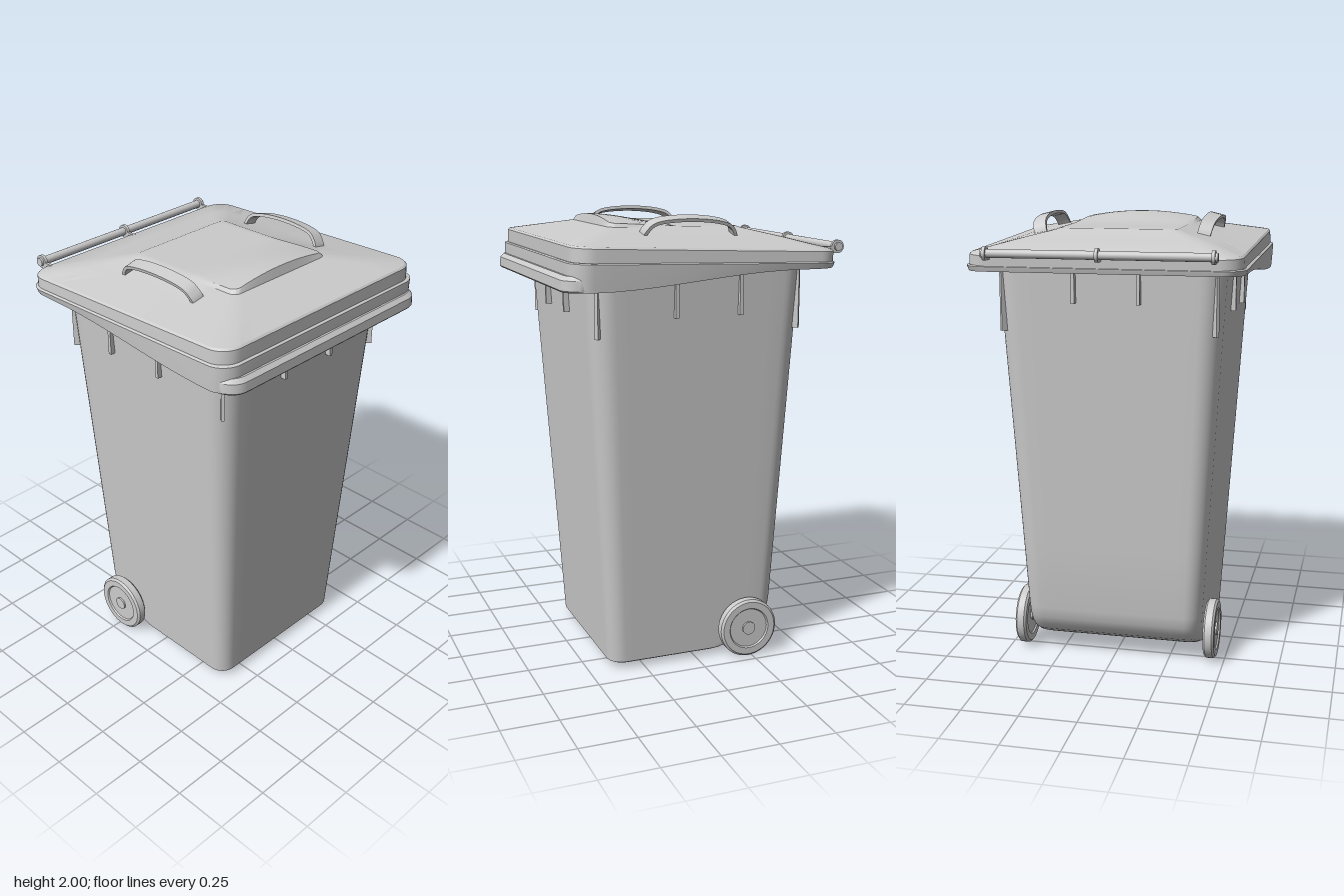
import * as THREE from 'three';
import { toCreasedNormals } from 'three/addons/utils/BufferGeometryUtils.js';

const grey = new THREE.MeshStandardMaterial({ color: 0xcccccc, side: THREE.DoubleSide });
const { lerp, smoothstep } = THREE.MathUtils;

function add(parent, name, geometry, x = 0, y = 0, z = 0) {
  const mesh = new THREE.Mesh(geometry, grey);
  mesh.name = name;
  mesh.position.set(x, y, z);
  parent.add(mesh);
  return mesh;
}

// Outline of a rounded rectangle in the xz plane, with subdivided edges
function outline(hx, z0, z1, r, arc = 8, edge = 12) {
  const signs = [[1, 1], [-1, 1], [-1, -1], [1, -1]];
  const cz = (z0 + z1) / 2, hz = (z1 - z0) / 2, pts = [];
  const corner = (k, a) => [
    signs[k % 4][0] * (hx - r) + Math.cos(a) * r,
    cz + signs[k % 4][1] * (hz - r) + Math.sin(a) * r];
  for (let k = 0; k < 4; k++) {
    for (let i = 0; i <= arc; i++) pts.push(corner(k, (k + i / arc) * Math.PI / 2));
    const a = pts[pts.length - 1], b = corner(k + 1, (k + 1) * Math.PI / 2);
    for (let i = 1; i < edge; i++) pts.push([lerp(a[0], b[0], i / edge), lerp(a[1], b[1], i / edge)]);
  }
  return pts;
}

// Skin stacked outlines [halfWidth, zBack, zFront, radius, height]; height may be a rule of x and z
function loft(rings, crease = 0.5) {
  const pos = [], index = [];
  let n = 0;
  const centres = [];
  rings.forEach(([hx, z0, z1, r, y]) => {
    const height = typeof y === 'function' ? y : () => y;
    const pts = outline(hx, z0, z1, r);
    n = pts.length;
    pts.forEach(([x, z]) => pos.push(x, height(x, z), z));
    centres.push([0, height(0, (z0 + z1) / 2), (z0 + z1) / 2]);
  });
  const last = rings.length - 1, bottom = rings.length * n;
  pos.push(...centres[0], ...centres[last]);
  for (let j = 0; j < n; j++) {
    const k = (j + 1) % n;
    for (let i = 0; i < last; i++) {
      const a = i * n + j, b = i * n + k;
      index.push(a, a + n, b, b, a + n, b + n);
    }
    index.push(bottom, j, k, bottom + 1, last * n + k, last * n + j);
  }
  const g = new THREE.BufferGeometry();
  g.setAttribute('position', new THREE.Float32BufferAttribute(pos, 3));
  g.setIndex(index);
  return toCreasedNormals(g, crease);
}

// Tapered bin with a rounded undercut at the lower back
function bodyGeometry() {
  const rings = [];
  const section = (y, back) => {
    const t = (y - 0.03) / 1.72;
    rings.push([lerp(0.39, 0.495, t), back, lerp(0.405, 0.507, t), lerp(0.07, 0.1, t), y]);
  };
  rings.push([0.38, -0.14, 0.395, 0.065, 0.028]);
  [[0.035, -0.16], [0.05, -0.215], [0.075, -0.27], [0.105, -0.32], [0.14, -0.352], [0.18, -0.372], [0.23, -0.382]]
    .forEach(([y, z]) => section(y, z));
  for (let i = 1; i <= 5; i++) section(lerp(0.23, 1.79, i / 5), lerp(-0.382, -0.46, i / 5));
  return loft(rings, 0.6);
}

// Height rules for rim and lid, sloping towards the back
const along = z => (z + 0.575) / 1.175;
const rimBottom = (x, z) => 1.717 + 0.058 * smoothstep(-z, -0.5, 0.35);
const seam = (x, z) => lerp(1.8, 1.835, along(z));
const lidEdge = (x, z) => lerp(1.85, 1.9, along(z));
const slopeTop = (x, z) => lerp(1.932, 1.948, (z + 0.25) / 0.605);
const panel = (x, z) => {
  const front = smoothstep(z, 0.0, 0.33);
  return lerp(1.938, 1.952, (z + 0.25) / 0.6) + front * 0.036 * (1 - 0.75 * (x / 0.27) ** 2);
};

function lidGeometry() {
  const rings = [
    [0.583, -0.572, 0.6, 0.09, (x, z) => seam(x, z) - 0.01],
    [0.58, -0.575, 0.6, 0.09, (x, z) => lidEdge(x, z) - 0.008],
    [0.572, -0.567, 0.592, 0.085, lidEdge],
    [0.42, -0.41, 0.475, 0.06, (x, z) => lerp(lidEdge(x, z), slopeTop(x, z), 0.52)],
    [0.275, -0.255, 0.357, 0.035, slopeTop],
    [0.262, -0.24, 0.347, 0.035, panel],
  ];
  for (let i = 1; i < 10; i++) {
    const s = 1 - i / 10;
    rings.push([0.262 * s, 0.0535 - 0.2935 * s, 0.0535 + 0.2935 * s, 0.035 * s, panel]);
  }
  return loft(rings, 0.55);
}

// Bent strap, thick in the zy plane and extruded across its width
function strapGeometry(points, thickness, width) {
  const curve = new THREE.SplineCurve(points.map(p => new THREE.Vector2(...p)));
  const outer = [], inner = [];
  for (let i = 0; i <= 28; i++) {
    const p = curve.getPoint(i / 28), t = curve.getTangent(i / 28);
    outer.push(p);
    inner.unshift(new THREE.Vector2(p.x - t.y * thickness, p.y + t.x * thickness));
  }
  const g = new THREE.ExtrudeGeometry(new THREE.Shape([...outer, ...inner]), { depth: width, bevelEnabled: false });
  g.translate(0, 0, -width / 2);
  g.rotateY(-Math.PI / 2);
  return toCreasedNormals(g, 0.6);
}

function wheelGeometry() {
  const profile = [[0, -0.026], [0.03, -0.026], [0.03, -0.018], [0.09, -0.018], [0.095, -0.025], [0.125, -0.025], [0.135, -0.016],
    [0.135, 0.016], [0.125, 0.025], [0.095, 0.025], [0.09, 0.018], [0.03, 0.018], [0.03, 0.026], [0, 0.026]];
  const g = new THREE.LatheGeometry(profile.map(p => new THREE.Vector2(...p)), 48);
  g.rotateZ(-Math.PI / 2);
  return toCreasedNormals(g, 0.5);
}

const rod = (radius, length, sides = 20) => new THREE.CylinderGeometry(radius, radius, length, sides).rotateZ(Math.PI / 2);

export function createModel() {
  const model = new THREE.Group();
  model.name = 'wheeledBin';

  add(model, 'body', bodyGeometry());

  // Rim collar and the grip ledge along its front
  add(model, 'rim', loft([
    [0.588, -0.568, 0.61, 0.09, rimBottom],
    [0.592, -0.572, 0.613, 0.09, (x, z) => lerp(rimBottom(x, z), seam(x, z), 0.5)],
    [0.595, -0.574, 0.613, 0.09, (x, z) => seam(x, z) - 0.004],
    [0.588, -0.57, 0.606, 0.088, seam],
  ]));
  add(model, 'frontLedge', loft([
    [0.575, 0.4, 0.635, 0.08, 1.717],
    [0.578, 0.4, 0.641, 0.08, 1.724],
    [0.578, 0.4, 0.639, 0.08, 1.765],
    [0.572, 0.4, 0.622, 0.08, 1.782],
  ]));

  add(model, 'lid', lidGeometry());

  // Lid handles, leaning outwards
  const strap = strapGeometry([[0.25, -0.035], [0.235, -0.002], [0.19, 0.033], [0.08, 0.045], [-0.04, 0.04],
    [-0.13, 0.022], [-0.165, -0.005], [-0.18, -0.045]], 0.014, 0.058);
  for (const side of [1, -1]) {
    const handle = add(model, side > 0 ? 'leftLidHandle' : 'rightLidHandle', strap, side * 0.373, 1.948, 0);
    handle.rotation.z = -side * 0.24;
  }

  // Pull bar behind the lid with three brackets
  const bar = new THREE.Group();
  bar.name = 'rearBar';
  model.add(bar);
  add(bar, 'bar', rod(0.018, 0.985), 0, 1.855, -0.613);
  for (const x of [-0.475, 0, 0.475]) {
    add(bar, 'barCollar', rod(0.029, 0.014), x, 1.855, -0.613);
    add(bar, 'barBracket', new THREE.BoxGeometry(0.013, 0.03, 0.07), x, 1.842, -0.58);
  }

  // Stiffening ribs hanging below the rim
  const ribs = new THREE.Group();
  ribs.name = 'ribs';
  model.add(ribs);
  const rib = (x, z, bottom, turn) => {
    const h = 1.78 - bottom;
    const mesh = add(ribs, 'rib', new THREE.BoxGeometry(0.015, h, 0.05), x, bottom + h / 2, z);
    mesh.rotation.y = turn;
  };
  for (const s of [1, -1]) {
    rib(s * 0.14, 0.498, 1.585, 0);
    rib(s * 0.14, -0.458, 1.64, 0);
    for (const z of [0.14, -0.15]) rib(s * 0.482, z, 1.585, Math.PI / 2);
    rib(s * 0.452, 0.464, 1.51, s * Math.PI / 4);
    rib(s * 0.452, -0.42, 1.51, -s * Math.PI / 4);
  }

  // Axle and wheels
  add(model, 'axle', rod(0.02, 0.87), 0, 0.137, -0.232);
  for (const s of [1, -1]) add(model, s > 0 ? 'leftWheel' : 'rightWheel', wheelGeometry(), s * 0.437, 0.137, -0.232);

  return model;
}
